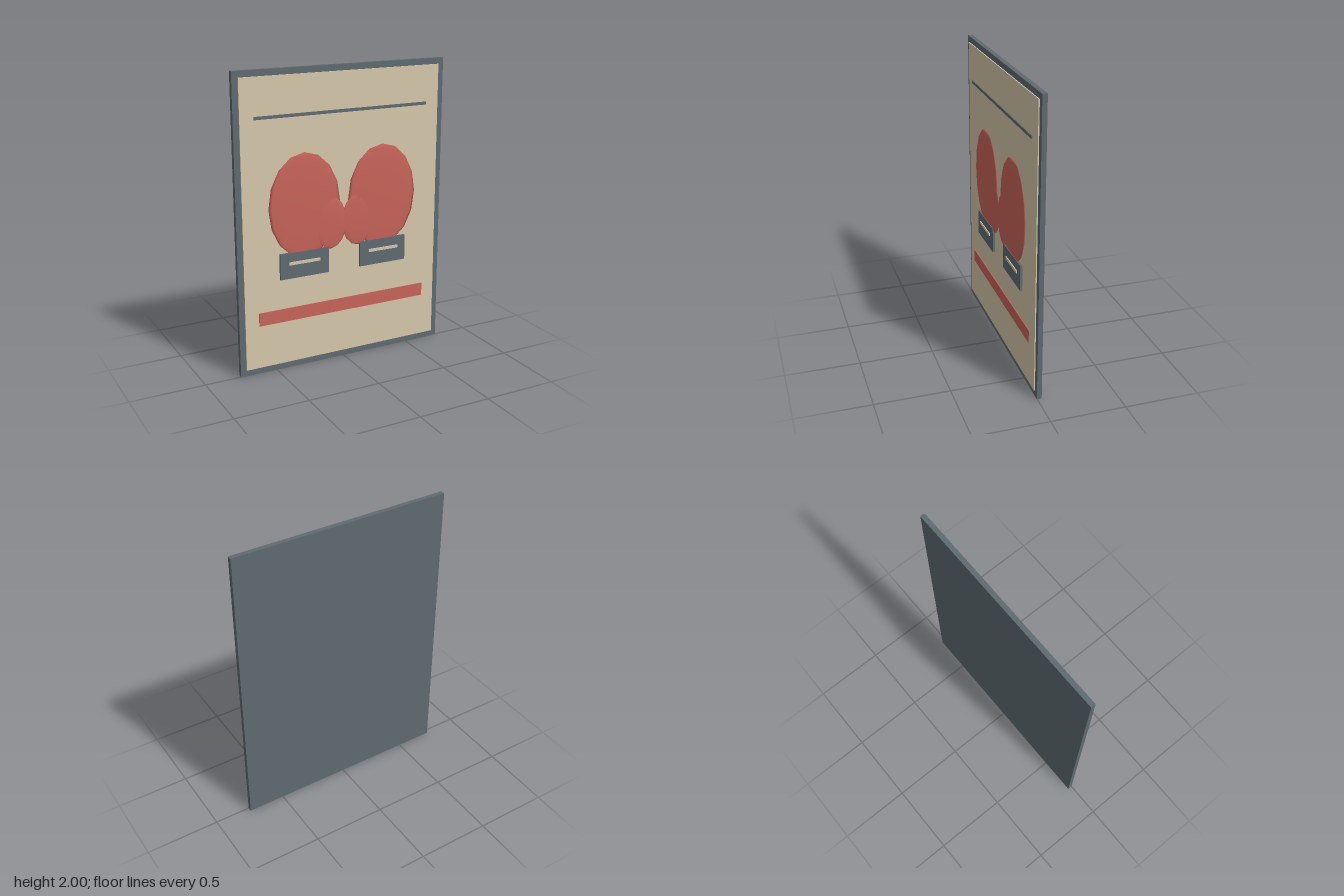
import * as THREE from 'three';

const paint = (color) => new THREE.MeshStandardMaterial({ color });

export function createModel() {
  const group = new THREE.Group();
  const slate = paint(0x5f6b70);
  const cream = paint(0xd6c9ab);
  const red = paint(0xc8645a);

  // Box given by its centre, size and front and back depth
  const slab = (name, mat, x, y, w, h, back, front) => {
    const mesh = new THREE.Mesh(new THREE.BoxGeometry(w, h, front - back), mat);
    mesh.position.set(x, y, (back + front) / 2);
    mesh.name = name;
    group.add(mesh);
  };

  // Flattened low-poly sphere
  const pad = (name, x, y, z, rx, ry, rz) => {
    const mesh = new THREE.Mesh(new THREE.SphereGeometry(1, 16, 8), red);
    mesh.scale.set(rx, ry, rz);
    mesh.position.set(x, y, z);
    mesh.name = name;
    group.add(mesh);
  };

  // Backing board and poster sheet
  slab('backingBoard', slate, 0, 1, 1.51, 2, -0.03, 0.002);
  slab('posterSheet', cream, 0, 1, 1.43, 1.92, -0.002, 0.009);

  // Horizontal bars
  slab('topRule', slate, 0, 1.705, 1.24, 0.02, 0.005, 0.015);
  slab('bottomBar', red, 0, 0.38, 1.24, 0.09, 0.005, 0.015);

  // Mirrored pair of gloves
  for (const [side, s] of [['left', 1], ['right', -1]]) {
    pad(side + 'Glove', s * 0.285, 1.113, 0.016, 0.255, 0.35, 0.01);
    pad(side + 'Thumb', s * 0.1, 0.97, 0.019, 0.117, 0.178, 0.008);
    slab(side + 'Cuff', slate, s * 0.2925, 0.72, 0.35, 0.175, 0.006, 0.024);
    slab(side + 'CuffStripe', cream, s * 0.295, 0.736, 0.222, 0.02, 0.02, 0.03);
  }
  return group;
}
